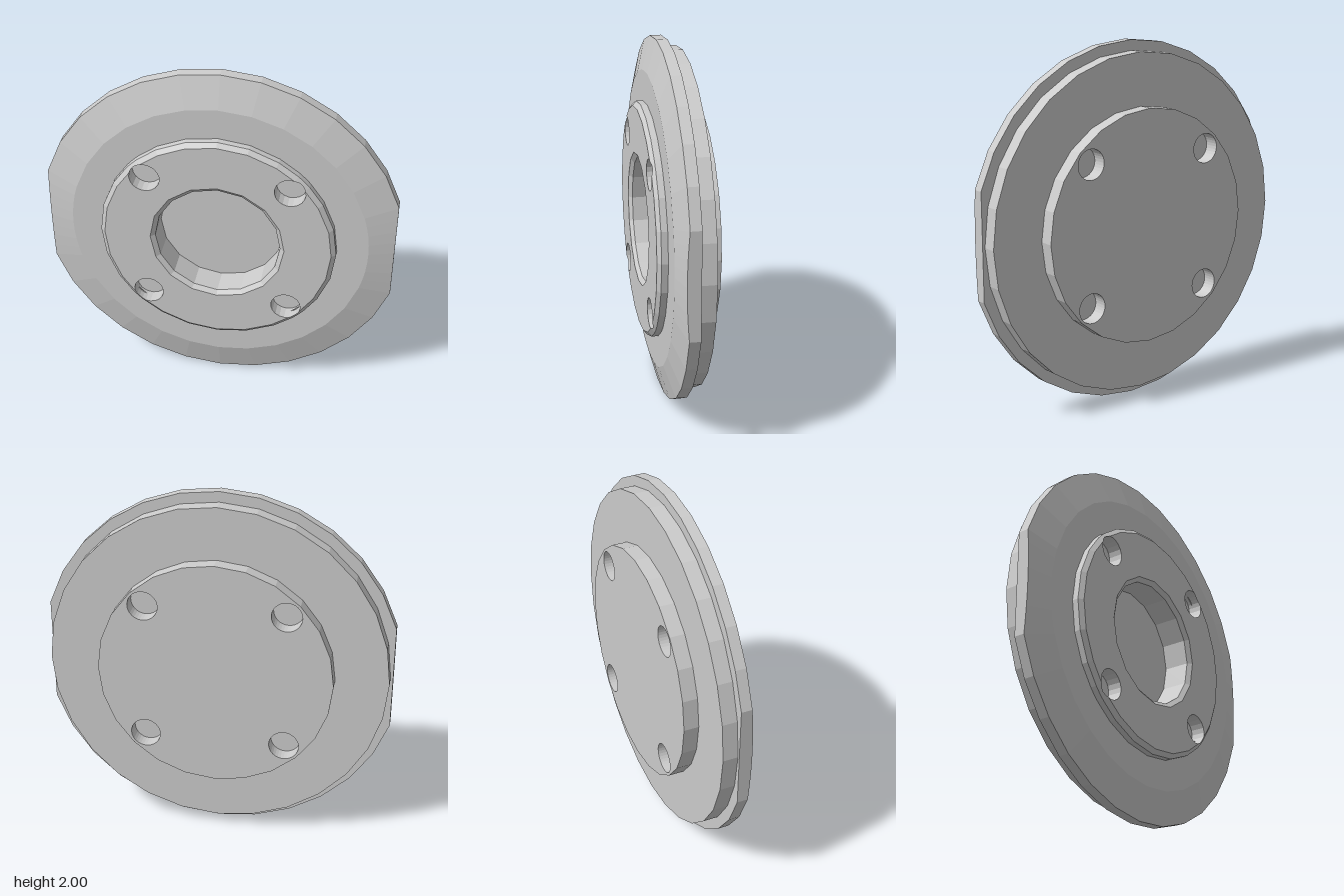
import * as THREE from 'three';

const material = new THREE.MeshStandardMaterial({ color: 0xcccccc, flatShading: true });
const TAU = Math.PI * 2;

// Point at a given angle and radius about the disc axis
const polar = (a, r, z) => new THREE.Vector3(r * Math.cos(a), r * Math.sin(a), z);
const circle = (n, r, z) => Array.from({ length: n }, (_, i) => polar(i / n * TAU, r, z));

// Skin between closed rings of equal length
function loft(...rings) {
  const n = rings[0].length, pts = [], index = [];
  rings.forEach(ring => ring.forEach(p => pts.push(p)));
  for (let k = 0; k < rings.length - 1; k++) {
    for (let i = 0; i < n; i++) {
      const j = (i + 1) % n, a = k * n + i, b = k * n + j;
      index.push(a, b, b + n, a, b + n, a + n);
    }
  }
  const g = new THREE.BufferGeometry().setFromPoints(pts);
  g.setIndex(index);
  g.computeVertexNormals();
  return g;
}

export function createModel() {
  const group = new THREE.Group();
  const disc = new THREE.Group();
  disc.name = 'disc';
  disc.position.y = 1;
  group.add(disc);
  const add = (name, geometry, z = 0) => {
    const mesh = new THREE.Mesh(geometry, material);
    mesh.name = name;
    mesh.position.z = z;
    disc.add(mesh);
    return mesh;
  };

  // Flange: conical front edge, cut by a flat on each side
  const flat = 0.956, flatAngle = Math.acos(flat), angles = [];
  for (let side = 0; side < 2; side++) {
    const base = side * Math.PI;
    for (let i = 0; i < 8; i++) angles.push(base - flatAngle + i / 8 * 2 * flatAngle);
    for (let i = 0; i < 12; i++) angles.push(base + flatAngle + i / 12 * (Math.PI - 2 * flatAngle));
  }
  const edge = a => Math.min(1, flat / Math.abs(Math.cos(a)));
  const ring = (r, z) => angles.map(a => polar(a, r, z));
  add('flange', loft(
    ring(0.85, 0),
    angles.map(a => polar(a, edge(a), 0)),
    angles.map(a => polar(a, edge(a), 0.06 + (1 - edge(a)) * 0.28)),
    ring(0.82, 0.11),
    ring(0.6, 0.11).map(p => p.multiply(new THREE.Vector3(1.05, 1.05, 1)))
  ));

  // Middle step, whose front also closes the bore
  const middle = new THREE.CylinderGeometry(0.942, 0.942, 0.082, 28);
  middle.rotateX(Math.PI / 2);
  add('middleStep', middle, -0.041);

  // Screw hole layout, and where each hole breaks through the front chamfer
  const D = 0.5515, hole = 0.083, R = 0.625, front = 0.165;
  const d0 = Math.acos((D * D + R * R - hole * hole) / (2 * D * R));
  const p0 = Math.atan2(R * Math.sin(d0), R * Math.cos(d0) - D);
  const holeAngles = [0, 1, 2, 3].map(q => Math.PI / 4 + q * Math.PI / 2);
  const chamferZ = r => Math.min(front, front - (r - R) * 0.8);
  const holePoint = (a, phi) => {
    const p = polar(a, D, 0).add(polar(a + phi, hole, 0));
    p.z = chamferZ(Math.hypot(p.x, p.y));
    return p;
  };

  // Back boss with four blind holes
  const backShape = new THREE.Shape(circle(24, 0.65, 0));
  holeAngles.forEach(a => {
    const c = polar(a, D, 0);
    backShape.holes.push(new THREE.Path().absarc(c.x, c.y, hole, 0, TAU, true));
  });
  add('backBoss', new THREE.ExtrudeGeometry(backShape, {
    depth: 0.085, bevelEnabled: false, curveSegments: 16
  }), -0.165);

  // Front boss outlines: the face dips round each hole, the chamfer passes outside it
  const faceOutline = [], chamferInner = [];
  for (let k = 0; k < 24; k++) {
    const a = k / 24 * TAU;
    if (k % 6 === 3) {
      for (let i = 0; i <= 16; i++) faceOutline.push(holePoint(a, -p0 - i / 16 * (TAU - 2 * p0)));
      for (let i = 0; i <= 4; i++) chamferInner.push(holePoint(a, -p0 + i / 4 * 2 * p0));
    } else {
      faceOutline.push(polar(a, R, front));
      chamferInner.push(polar(a, R, front));
    }
  }
  const chamferOuter = z => chamferInner.map(p => polar(Math.atan2(p.y, p.x), 0.65, z));
  add('frontBossRim', loft(chamferOuter(0.1), chamferOuter(0.145), chamferInner));
  const face = new THREE.Shape(faceOutline);
  face.holes.push(new THREE.Path(circle(16, 0.37, 0).reverse()));
  add('frontBossFace', new THREE.ShapeGeometry(face), front);

  // Central bore with a chamfered mouth
  add('bore', loft(circle(16, 0.37, front), circle(16, 0.345, 0.145), circle(16, 0.345, -0.001)));

  // Front screw holes
  const floorZ = 0.085;
  holeAngles.forEach(a => {
    const top = [];
    for (let i = 0; i < 4; i++) top.push(holePoint(a, -p0 + i / 4 * 2 * p0));
    for (let i = 0; i < 16; i++) top.push(holePoint(a, p0 + i / 16 * (TAU - 2 * p0)));
    const bottom = top.map(p => new THREE.Vector3(p.x, p.y, floorZ));
    add('screwHoleWall', loft(top, bottom));
    add('screwHoleFloor', new THREE.ShapeGeometry(new THREE.Shape(bottom)), floorZ);
  });

  return group;
}
